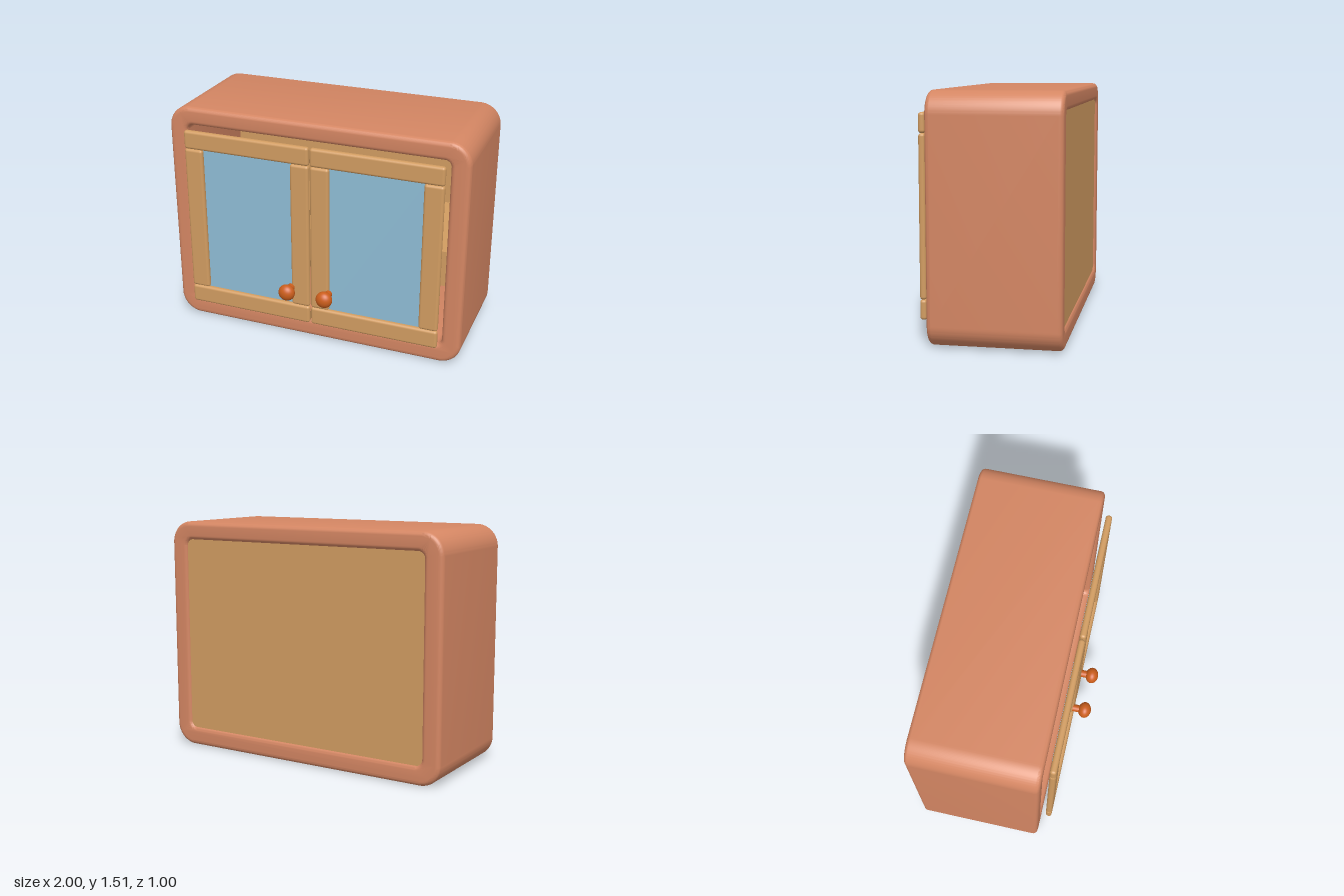
import * as THREE from 'three';
import { toCreasedNormals } from 'three/addons/utils/BufferGeometryUtils.js';
import { RoundedBoxGeometry } from 'three/addons/geometries/RoundedBoxGeometry.js';

function material(name, color) {
  const m = new THREE.MeshStandardMaterial({ color });
  m.name = name;
  return m;
}

// Rounded rectangle outline between two corners
function roundedRect(target, x0, y0, x1, y1, r) {
  target.moveTo(x0 + r, y0);
  target.lineTo(x1 - r, y0);
  target.absarc(x1 - r, y0 + r, r, -Math.PI / 2, 0);
  target.lineTo(x1, y1 - r);
  target.absarc(x1 - r, y1 - r, r, 0, Math.PI / 2);
  target.lineTo(x0 + r, y1);
  target.absarc(x0 + r, y1 - r, r, Math.PI / 2, Math.PI);
  target.lineTo(x0, y0 + r);
  target.absarc(x0 + r, y0 + r, r, Math.PI, Math.PI * 1.5);
  return target;
}

export function createModel() {
  const clay = material('clay cabinet', 0xd48663);
  const wood = material('light wood', 0xd19c61);
  const pane = material('blue glass', 0x8fbdd6);
  const orange = material('orange knob', 0xcc5e1c);

  const group = new THREE.Group();
  group.name = 'cabinet';

  function add(parent, name, geometry, mat, x = 0, y = 0, z = 0) {
    const mesh = new THREE.Mesh(geometry, mat);
    mesh.name = name;
    mesh.position.set(x, y, z);
    parent.add(mesh);
    return mesh;
  }

  // Box given by its extents, optionally with rounded edges
  function slab(parent, name, mat, [x0, x1], [y0, y1], [z0, z1], r = 0) {
    const size = [x1 - x0, y1 - y0, z1 - z0];
    const geo = r ? new RoundedBoxGeometry(...size, 4, r) : new THREE.BoxGeometry(...size);
    return add(parent, name, geo, mat, (x0 + x1) / 2, (y0 + y1) / 2, (z0 + z1) / 2);
  }

  // Open shell with softly rounded rims, front and back
  const bevel = 0.03;
  const outline = roundedRect(new THREE.Shape(), -1 + bevel, bevel, 1 - bevel, 1.515 - bevel, 0.11);
  outline.holes.push(roundedRect(new THREE.Path(), -0.905, 0.095, 0.905, 1.425, 0.07));
  const shell = new THREE.ExtrudeGeometry(outline, {
    depth: 0.805 - 2 * bevel,
    bevelSize: bevel,
    bevelThickness: bevel,
    bevelSegments: 6,
    curveSegments: 14,
  });
  add(group, 'shell', toCreasedNormals(shell, 0.6), clay, 0, 0, -0.5 + bevel);

  // Back panel and the single shelf
  slab(group, 'backPanel', wood, [-0.88, 0.88], [0.12, 1.4], [-0.485, -0.46]);
  slab(group, 'shelf', wood, [-0.878, 0.878], [0.743, 0.778], [-0.462, 0.26]);

  // Two mirrored doors
  for (const side of [1, -1]) {
    const door = new THREE.Group();
    door.name = side > 0 ? 'leftDoor' : 'rightDoor';
    group.add(door);
    const span = (a, b) => (side > 0 ? [a, b] : [-b, -a]);
    const depth = [0.337, 0.378];

    slab(door, 'topRail', wood, span(0.004, 0.863), [1.26, 1.383], depth, 0.018);
    slab(door, 'bottomRail', wood, span(0.004, 0.863), [0.14, 0.264], depth, 0.018);
    slab(door, 'innerStile', wood, span(0.004, 0.13), [0.264, 1.26], depth, 0.018);
    slab(door, 'outerStile', wood, span(0.737, 0.863), [0.264, 1.26], depth, 0.018);
    slab(door, 'glass', pane, span(0.115, 0.752), [0.252, 1.27], [0.333, 0.352]);

    // Knob: short stem and flattened ball
    const stem = add(door, 'knobStem', new THREE.CylinderGeometry(0.025, 0.025, 0.06, 24), orange, side * 0.13, 0.39, 0.4);
    stem.rotation.x = Math.PI / 2;
    const knob = add(door, 'knob', new THREE.SphereGeometry(0.055, 32, 20), orange, side * 0.13, 0.39, 0.453);
    knob.scale.z = 0.8;
  }

  return group;
}
